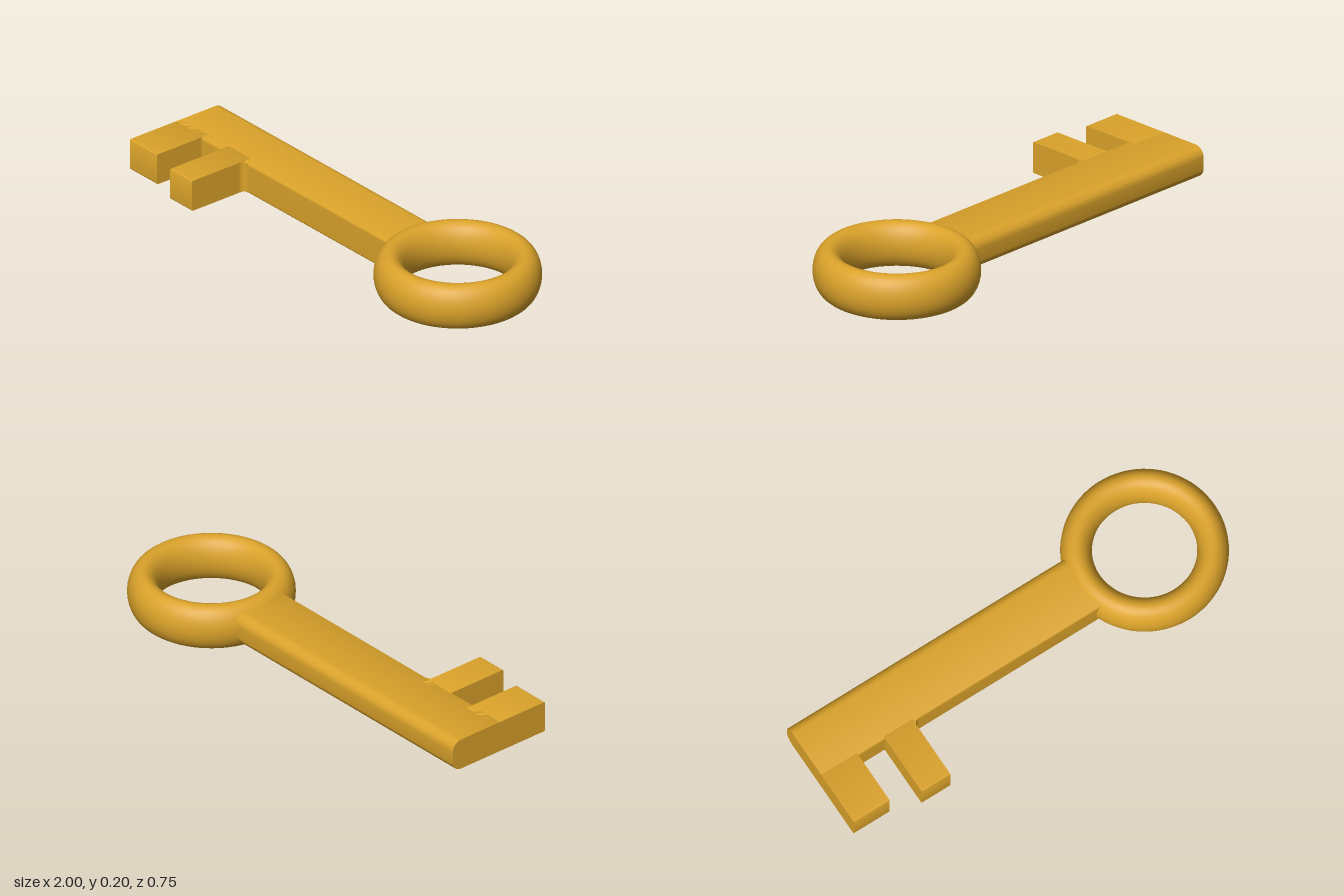
import * as THREE from 'three';
import { toCreasedNormals } from 'three/addons/utils/BufferGeometryUtils.js';

const BOTTOM = 0.035, TOP = 0.173;

// Bar running along x, its section rounded by rBack at the back and rFront at the front.
function bar(x0, x1, zBack, zFront, rBack, rFront) {
  const a = -zFront, b = -zBack;
  const s = new THREE.Shape();
  s.moveTo(a + rFront, BOTTOM);
  s.lineTo(b - rBack, BOTTOM);
  s.absarc(b - rBack, BOTTOM + rBack, rBack, -Math.PI / 2, 0);
  s.absarc(b - rBack, TOP - rBack, rBack, 0, Math.PI / 2);
  s.absarc(a + rFront, TOP - rFront, rFront, Math.PI / 2, Math.PI);
  s.absarc(a + rFront, BOTTOM + rFront, rFront, Math.PI, Math.PI * 1.5);
  const g = new THREE.ExtrudeGeometry(s, { depth: x1 - x0, bevelEnabled: false, curveSegments: 8 });
  g.rotateY(Math.PI / 2).translate(x0, 0, 0);
  return toCreasedNormals(g, 0.6);
}

// Small concave corner piece between the outer tooth side and the shaft.
function fillet(x, z, r) {
  const s = new THREE.Shape();
  s.moveTo(x - 0.01, z - 0.01);
  s.lineTo(x + r, z - 0.01);
  s.lineTo(x + r, z);
  s.absarc(x + r, z + r, r, -Math.PI / 2, -Math.PI, true);
  s.lineTo(x - 0.01, z + r);
  const g = new THREE.ExtrudeGeometry(s, { depth: TOP - BOTTOM - 0.006, bevelEnabled: false, curveSegments: 8 });
  g.rotateX(Math.PI / 2).translate(0, TOP - 0.003, 0);
  return toCreasedNormals(g, 0.6);
}

export function createModel() {
  const key = new THREE.Group();
  key.name = 'key';
  const gold = new THREE.MeshStandardMaterial({ color: 0xdaa22a });
  const add = (name, geometry) => {
    const mesh = new THREE.Mesh(geometry, gold);
    mesh.name = name;
    key.add(mesh);
  };

  // Ring handle: torus stretched vertically to an oval section
  const ring = new THREE.TorusGeometry(0.28, 0.065, 32, 80);
  ring.rotateX(Math.PI / 2).scale(1, 0.1 / 0.065, 1).translate(0.655, 0.1, -0.03);
  add('ringHandle', ring);

  // Shaft with a soft back edge, its end buried in the ring
  add('shaft', bar(-1, 0.375, -0.165, 0.1, 0.045, 0.01));

  // Teeth: [x0, x1, front z]
  [[-1, -0.825, 0.335], [-0.695, -0.555, 0.375]].forEach(([x0, x1, z], i) =>
    add(i ? 'innerTooth' : 'endTooth', bar(x0, x1, 0.06, z, 0.002, 0.006)));
  add('toothFillet', fillet(-0.555, 0.1, 0.025));

  return key;
}
